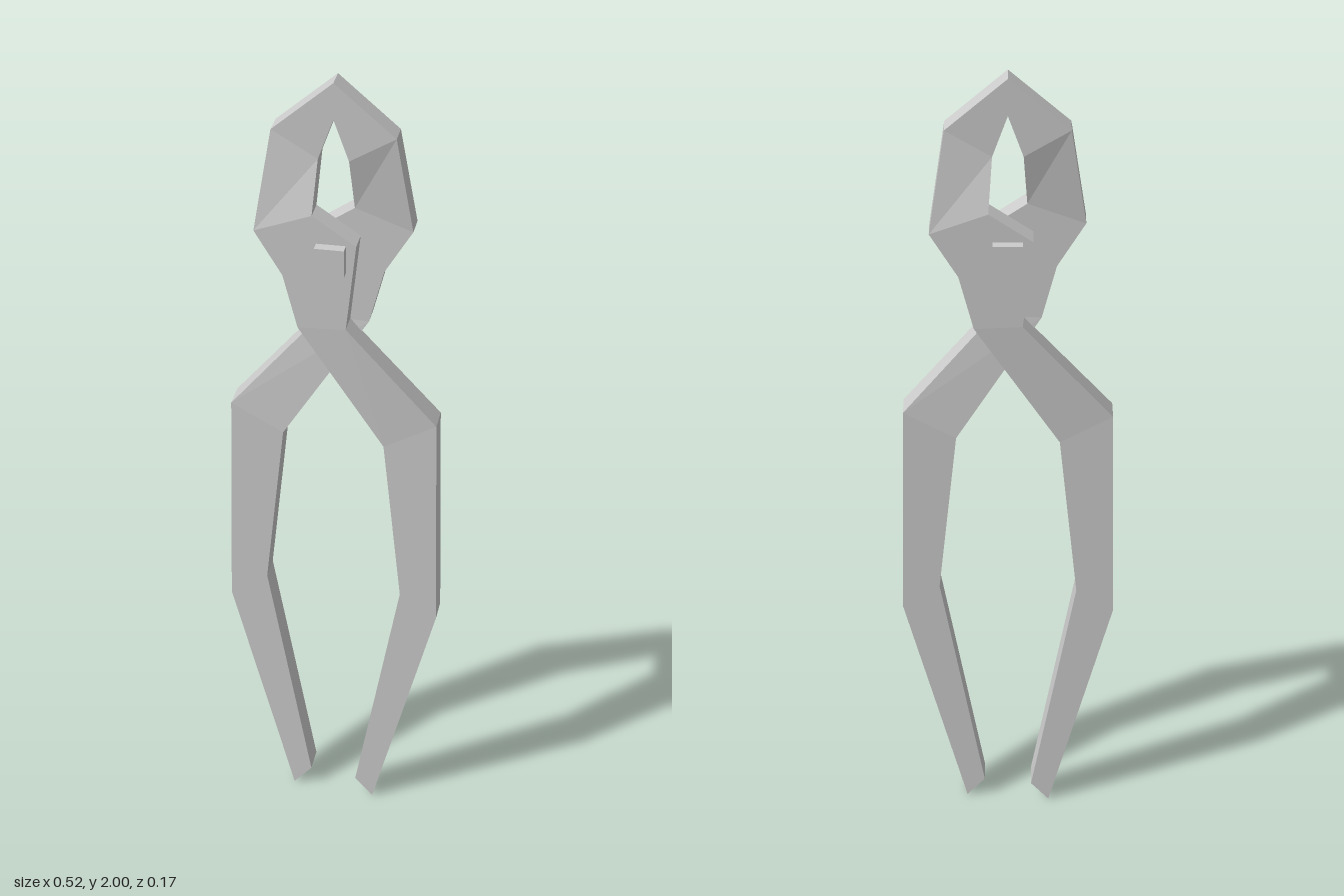
import * as THREE from 'three';

const material = new THREE.MeshStandardMaterial({ color: 0xcccccc, flatShading: true });

// Cross-sections of one half from handle end to jaw tip:
// left edge x, y, right edge x, y, back z, front z
const sections = [
  [0.06, 0.05, 0.105, 0.0, -0.024, 0.044],   // handle end
  [0.17, 0.645, 0.262, 0.585, -0.024, 0.044], // handle bend
  [0.125, 1.07, 0.252, 1.14, -0.024, 0.044], // shoulder
  [-0.08, 1.385, 0.035, 1.39, 0, 0.059],     // neck
  [-0.115, 1.52, 0.047, 1.5, 0, 0.059],      // pivot plate
  [-0.182, 1.63, 0.059, 1.61, 0, 0.059],     // top of pivot plate
  [-0.182, 1.63, -0.045, 1.68, 0, 0.059],    // jaw root
  [-0.145, 1.875, -0.036, 1.81, -0.028, 0.028], // jaw bend
  [0, 2.0, 0, 1.91, -0.028, 0.028],          // jaw tip
];

// Joins four-cornered sections into a closed, faceted solid
function loft(rows) {
  const rings = rows.map(([ax, ay, bx, by, z0, z1]) => [
    new THREE.Vector3(ax, ay, z1), new THREE.Vector3(bx, by, z1),
    new THREE.Vector3(bx, by, z0), new THREE.Vector3(ax, ay, z0),
  ]);
  const positions = [];
  const tri = (a, b, c) => {
    if (new THREE.Triangle(a, b, c).getArea() < 1e-9) return;
    for (const p of [a, b, c]) positions.push(p.x, p.y, p.z);
  };
  const quad = (a, b, c, d) => { tri(a, b, c); tri(a, c, d); };
  for (let s = 0; s < rings.length - 1; s++) {
    const lower = rings[s], upper = rings[s + 1];
    for (let i = 0; i < 4; i++) {
      const j = (i + 1) % 4;
      quad(lower[i], lower[j], upper[j], upper[i]);
    }
  }
  quad(...[...rings[0]].reverse());
  quad(...rings[rings.length - 1]);
  const geometry = new THREE.BufferGeometry();
  geometry.setAttribute('position', new THREE.Float32BufferAttribute(positions, 3));
  geometry.computeVertexNormals();
  return geometry;
}

export function createModel() {
  const model = new THREE.Group();
  model.name = 'pliers';

  // Two identical halves, one turned half way round the vertical axis
  const halfGeometry = loft(sections);
  ['frontHalf', 'backHalf'].forEach((name, i) => {
    const half = new THREE.Mesh(halfGeometry, material);
    half.name = name;
    half.rotation.y = i * Math.PI;
    model.add(half);
  });

  // Square pivot pin through both plates
  const pin = new THREE.Mesh(new THREE.BoxGeometry(0.07, 0.07, 0.17), material);
  pin.name = 'pivotPin';
  pin.position.y = 1.575;
  model.add(pin);

  return model;
}
